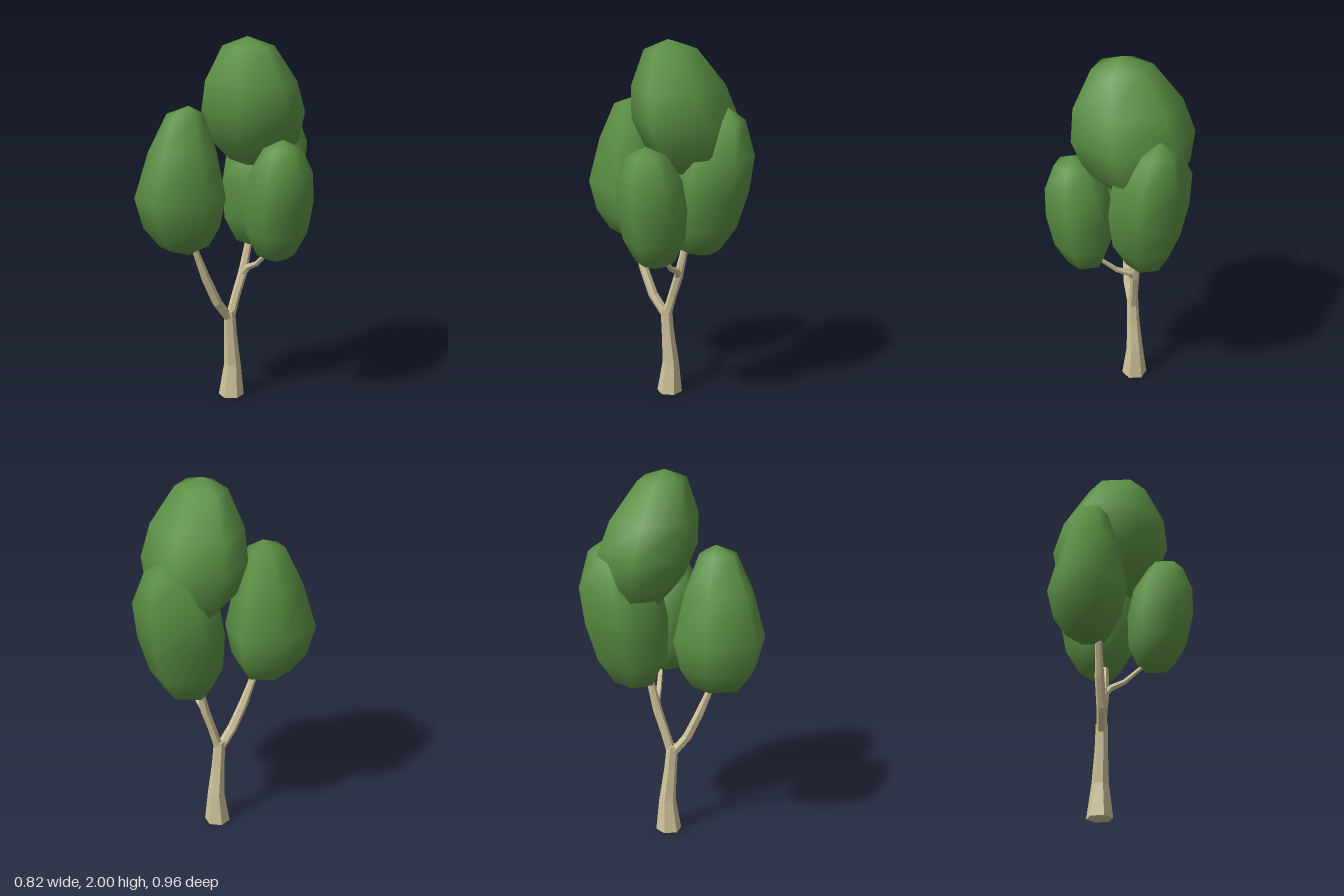
import * as THREE from 'three';

const SIDES = 6;

// Skin a stack of six-point rings, closed by a pole point at each end
function loft(rings, bottom, top) {
  const points = [...rings.flat(), bottom, top];
  const index = [];
  const last = (rings.length - 1) * SIDES;
  const b = rings.length * SIDES;
  for (let k = 0; k < SIDES; k++) {
    const n = (k + 1) % SIDES;
    for (let o = 0; o < last; o += SIDES) {
      index.push(o + k, o + SIDES + k, o + n, o + n, o + SIDES + k, o + SIDES + n);
    }
    index.push(b, k, n, b + 1, last + n, last + k);
  }
  const geometry = new THREE.BufferGeometry().setFromPoints(points);
  geometry.setIndex(index);
  geometry.computeVertexNormals();
  return geometry;
}

// Leaf mass: a plan outline scaled per level [y, scale] about an axis from bottom to top
function crownGeometry({ outline, middle, bottom, top, levels }) {
  const low = new THREE.Vector3(...bottom);
  const high = new THREE.Vector3(...top);
  const axis = (y) => low.clone().lerp(high, (y - low.y) / (high.y - low.y));
  const centre = axis(middle);
  const rings = levels.map(([y, s]) => {
    const c = axis(y);
    return outline.map(([x, z]) =>
      new THREE.Vector3(c.x + (x - centre.x) * s, y, c.z + (z - centre.z) * s));
  });
  return loft(rings, low, high);
}

// Tapered limb through sections [x, y, z, radius]
function limbGeometry(sections) {
  const pts = sections.map(([x, y, z]) => new THREE.Vector3(x, y, z));
  const rings = pts.map((p, i) => {
    const t = pts[Math.min(i + 1, pts.length - 1)].clone()
      .sub(pts[Math.max(i - 1, 0)]).normalize();
    if (p.y === 0) t.set(0, 1, 0); // level foot
    const u = new THREE.Vector3().crossVectors(t, new THREE.Vector3(0, 0, 1)).normalize();
    const v = new THREE.Vector3().crossVectors(u, t);
    return Array.from({ length: SIDES }, (_, k) => {
      const a = ((k + 0.4) / SIDES) * Math.PI * 2;
      return p.clone()
        .addScaledVector(u, Math.cos(a) * sections[i][3])
        .addScaledVector(v, Math.sin(a) * sections[i][3]);
    });
  });
  return loft(rings, pts[0], pts[pts.length - 1]);
}

export function createModel() {
  const leaf = new THREE.MeshStandardMaterial({ color: 0x5c9144 });
  leaf.name = 'leafGreen';
  const bark = new THREE.MeshStandardMaterial({ color: 0xcfc39a, flatShading: true });
  bark.name = 'paleBark';

  const tree = new THREE.Group();
  tree.name = 'tree';
  const add = (name, geometry, material) => {
    const mesh = new THREE.Mesh(geometry, material);
    mesh.name = name;
    tree.add(mesh);
  };

  // Trunk and its three branches
  const limbs = {
    trunk: [
      [-0.09, 0, -0.015, 0.07], [-0.087, 0.18, -0.022, 0.046],
      [-0.086, 0.36, -0.005, 0.035], [-0.086, 0.5, 0.005, 0.032]],
    frontBranch: [
      [-0.088, 0.46, 0.01, 0.026], [-0.105, 0.56, 0.085, 0.027],
      [-0.13, 0.7, 0.145, 0.025], [-0.15, 0.86, 0.205, 0.018], [-0.155, 0.95, 0.23, 0.015]],
    backBranch: [
      [-0.084, 0.46, 0, 0.026], [-0.072, 0.58, -0.035, 0.024],
      [-0.055, 0.7, -0.073, 0.025], [-0.045, 0.86, -0.11, 0.02], [-0.04, 0.95, -0.13, 0.017]],
    leftBranch: [
      [-0.06, 0.69, -0.07, 0.02], [-0.02, 0.74, -0.075, 0.019],
      [0.05, 0.775, -0.06, 0.015], [0.14, 0.86, -0.045, 0.012], [0.2, 0.92, -0.035, 0.01]],
  };
  for (const [name, sections] of Object.entries(limbs)) add(name, limbGeometry(sections), bark);

  // Leaf masses, outlines as [x, z] at the widest level
  const crowns = {
    topCrown: {
      outline: [[-0.325, -0.21], [-0.11, -0.38], [0.2, -0.285],
        [0.29, -0.02], [0.075, 0.148], [-0.235, 0.053]],
      middle: 1.59, bottom: [-0.04, 1.28, -0.17], top: [0.01, 2, -0.03],
      levels: [[1.32, 0.5], [1.43, 0.85], [1.59, 1], [1.76, 0.88], [1.95, 0.49]],
    },
    frontCrown: {
      outline: [[-0.24, 0.0], [-0.03, 0.1], [-0.015, 0.28],
        [-0.195, 0.48], [-0.395, 0.415], [-0.415, 0.15]],
      middle: 1.16, bottom: [-0.19, 0.845, 0.22], top: [-0.18, 1.65, 0.22],
      levels: [[0.895, 0.54], [1.0, 0.84], [1.16, 1], [1.41, 0.74], [1.61, 0.4]],
    },
    leftCrown: {
      outline: [[0.375, -0.13], [0.412, 0.048], [0.28, 0.172],
        [0.11, 0.12], [0.07, -0.05], [0.2, -0.185]],
      middle: 1.19, bottom: [0.21, 0.825, -0.015], top: [0.275, 1.495, 0.015],
      levels: [[0.865, 0.55], [0.985, 0.88], [1.16, 1], [1.32, 0.91], [1.45, 0.54]],
    },
    backCrown: {
      outline: [[-0.07, -0.483], [0.125, -0.425], [0.165, -0.2],
        [0.02, -0.04], [-0.18, -0.085], [-0.265, -0.3]],
      middle: 1.38, bottom: [-0.055, 0.83, -0.2], top: [-0.04, 1.65, -0.34],
      levels: [[0.87, 0.5], [1.0, 0.84], [1.2, 0.99], [1.4, 0.96], [1.59, 0.52]],
    },
  };
  for (const [name, spec] of Object.entries(crowns)) add(name, crownGeometry(spec), leaf);

  return tree;
}
